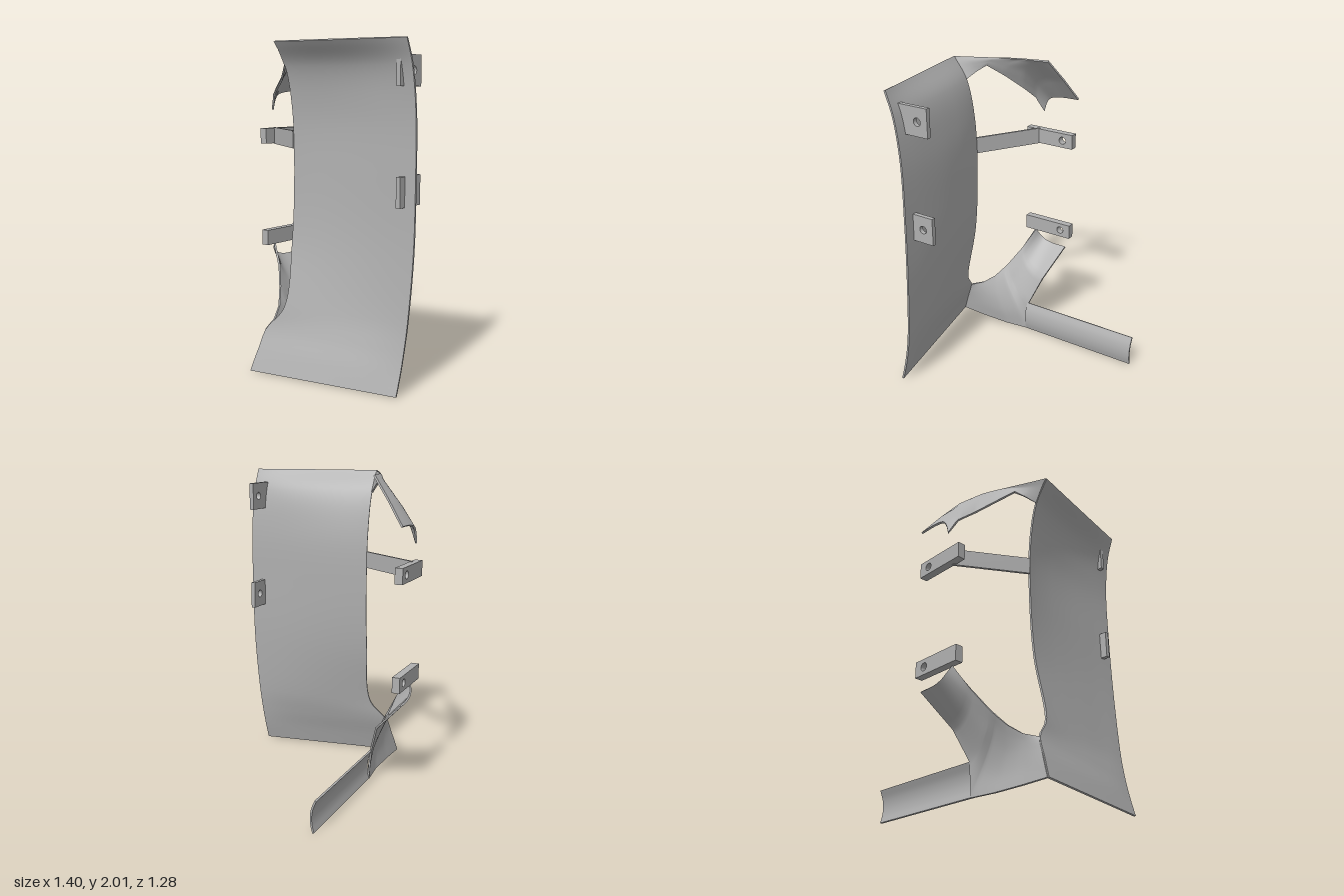
import * as THREE from 'three';

const V = (p) => new THREE.Vector3(...p);

// Thin curved sheet lofted through cross-sections (each a list of points)
function sheet(name, sections, material, { smooth = true, nu = 32, nv = 20, thick = 0.012 } = {}) {
  const across = sections.map((s) => new THREE.CatmullRomCurve3(s.map(V), false, 'centripetal'));
  const P = [];
  for (let i = 0; i <= nu; i++) P.push([]);
  for (let j = 0; j <= nv; j++) {
    const pts = across.map((c) => c.getPoint(j / nv));
    const curve = new THREE.CatmullRomCurve3(pts, false, 'centripetal');
    for (let i = 0; i <= nu; i++) {
      if (smooth) P[i].push(curve.getPoint(i / nu));
      else {
        const f = (i / nu) * (pts.length - 1);
        const k = Math.min(Math.floor(f), pts.length - 2);
        P[i].push(pts[k].clone().lerp(pts[k + 1], f - k));
      }
    }
  }
  // Offset the middle surface along its normals to both faces
  const normal = (i, j) => {
    const du = P[Math.min(i + 1, nu)][j].clone().sub(P[Math.max(i - 1, 0)][j]);
    const dv = P[i][Math.min(j + 1, nv)].clone().sub(P[i][Math.max(j - 1, 0)]);
    return du.cross(dv).normalize();
  };
  const pos = [], nor = [], index = [];
  const id = (i, j) => i * (nv + 1) + j;
  const count = (nu + 1) * (nv + 1);
  for (const s of [1, -1]) {
    for (let i = 0; i <= nu; i++) for (let j = 0; j <= nv; j++) {
      const n = normal(i, j).multiplyScalar(s);
      pos.push(...P[i][j].clone().addScaledVector(n, thick / 2).toArray());
      nor.push(...n.toArray());
    }
  }
  for (let i = 0; i < nu; i++) for (let j = 0; j < nv; j++) {
    const a = id(i, j), b = id(i + 1, j), c = id(i + 1, j + 1), d = id(i, j + 1);
    index.push(a, b, c, a, c, d);
    index.push(count + a, count + c, count + b, count + a, count + d, count + c);
  }
  // Rim around the boundary
  const loop = [];
  for (let i = 0; i < nu; i++) loop.push(id(i, 0));
  for (let j = 0; j < nv; j++) loop.push(id(nu, j));
  for (let i = nu; i > 0; i--) loop.push(id(i, nv));
  for (let j = nv; j > 0; j--) loop.push(id(0, j));
  const at = (k) => new THREE.Vector3().fromArray(pos, k * 3);
  loop.forEach((a, k) => {
    const b = loop[(k + 1) % loop.length];
    const q = [a, count + a, count + b, b].map(at);
    const n = q[1].clone().sub(q[0]).cross(q[3].clone().sub(q[0]).negate()).negate().normalize();
    const base = pos.length / 3;
    q.forEach((p) => { pos.push(...p.toArray()); nor.push(...n.toArray()); });
    index.push(base, base + 1, base + 2, base, base + 2, base + 3);
  });
  const g = new THREE.BufferGeometry();
  g.setAttribute('position', new THREE.Float32BufferAttribute(pos, 3));
  g.setAttribute('normal', new THREE.Float32BufferAttribute(nor, 3));
  g.setIndex(index);
  const mesh = new THREE.Mesh(g, material);
  mesh.name = name;
  return mesh;
}

// Flat mounting plate with one round hole
function plate(name, x0, x1, y0, y1, z0, z1, hx, hy, material) {
  const s = new THREE.Shape([[x0, y0], [x1, y0], [x1, y1], [x0, y1]].map((p) => new THREE.Vector2(...p)));
  s.holes.push(new THREE.Path().absarc(hx, hy, 0.025, 0, Math.PI * 2, true));
  const g = new THREE.ExtrudeGeometry(s, { depth: z1 - z0, bevelEnabled: false, curveSegments: 24 });
  const mesh = new THREE.Mesh(g.translate(0, 0, z0), material);
  mesh.name = name;
  return mesh;
}

export function createModel() {
  const group = new THREE.Group();
  group.name = 'sidePanelAssembly';
  const grey = new THREE.MeshStandardMaterial({ color: 0xb0b0b0, side: THREE.DoubleSide });
  grey.name = 'plainGrey';

  // Side panel: y, front x, front z, back x, back z, bend exponent
  const rows = [
    [0, -0.51, 0.61, -0.695, -0.355, 1],
    [0.12, -0.475, 0.614, -0.65, -0.335, 1],
    [0.25, -0.445, 0.618, -0.6, -0.31, 1.15],
    [0.4, -0.42, 0.624, -0.548, -0.2, 1.5],
    [0.8, -0.385, 0.638, -0.47, -0.2, 2.2],
    [1.2, -0.372, 0.64, -0.443, -0.2, 3],
    [1.6, -0.374, 0.64, -0.453, -0.2, 3],
    [1.86, -0.41, 0.638, -0.51, -0.2, 2],
    [2, -0.46, 0.635, -0.602, -0.2, 1],
  ];
  const panel = rows.map(([y, xf, zf, xb, zb, p]) => [0, 0.25, 0.5, 0.7, 0.82, 0.92, 1].map((t) =>
    [xf + (xb - xf) * t ** p, y, zf + (zb - zf) * t]));
  group.add(sheet('sidePanel', panel, grey, { nu: 64, nv: 24 }));

  // Lower arm: from the panel's bottom rear corner, up and back to a trough-shaped end
  group.add(sheet('lowerArm', [
    [[-0.695, 0, -0.355], [-0.665, 0.08, -0.342], [-0.63, 0.17, -0.325], [-0.61, 0.22, -0.317], [-0.6, 0.25, -0.31]],
    [[-0.5, 0, -0.345], [-0.5, 0.1, -0.33], [-0.5, 0.19, -0.325], [-0.5, 0.25, -0.328], [-0.5, 0.29, -0.335]],
    [[-0.3, 0, -0.345], [-0.33, 0.1, -0.332], [-0.37, 0.2, -0.335], [-0.4, 0.28, -0.35], [-0.42, 0.35, -0.37]],
    [[-0.13, 0, -0.365], [-0.2, 0.14, -0.35], [-0.28, 0.26, -0.362], [-0.34, 0.35, -0.385], [-0.37, 0.41, -0.41]],
    [[-0.13, 0.205, -0.38], [-0.2, 0.25, -0.385], [-0.27, 0.32, -0.4], [-0.315, 0.39, -0.415], [-0.34, 0.45, -0.435]],
    [[-0.055, 0.4, -0.445], [-0.13, 0.415, -0.46], [-0.2, 0.455, -0.475], [-0.245, 0.51, -0.49], [-0.27, 0.565, -0.505]],
    [[0.02, 0.6, -0.632], [-0.1, 0.605, -0.632], [-0.16, 0.625, -0.63], [-0.19, 0.655, -0.622], [-0.21, 0.7, -0.6]],
  ], grey, { smooth: false, nu: 36 }));

  // Lower bar with a shallow curved section
  group.add(sheet('lowerBar', [-0.14, 0.28, 0.7].map((x) =>
    [[x, 0, -0.365], [x, 0.05, -0.353], [x, 0.1, -0.35], [x, 0.15, -0.358], [x, 0.205, -0.38]]), grey, { nu: 4 }));

  // Upper arm: from the panel's top rear corner to a trough-shaped end
  group.add(sheet('upperArm', [
    [[-0.602, 2, -0.2], [-0.57, 1.96, -0.2], [-0.545, 1.92, -0.2], [-0.525, 1.885, -0.2], [-0.51, 1.86, -0.2]],
    [[-0.5, 2, -0.245], [-0.485, 1.975, -0.243], [-0.475, 1.95, -0.245], [-0.467, 1.93, -0.248], [-0.46, 1.91, -0.25]],
    [[-0.35, 2, -0.315], [-0.37, 1.99, -0.303], [-0.39, 1.977, -0.295], [-0.402, 1.963, -0.29], [-0.41, 1.95, -0.29]],
    [[-0.2, 2, -0.375], [-0.24, 1.985, -0.37], [-0.29, 1.95, -0.36], [-0.32, 1.91, -0.36], [-0.33, 1.88, -0.37]],
    [[-0.02, 2, -0.41], [-0.12, 1.98, -0.41], [-0.2, 1.925, -0.425], [-0.235, 1.85, -0.45], [-0.25, 1.78, -0.48]],
    [[0.033, 1.86, -0.525], [-0.08, 1.85, -0.53], [-0.165, 1.81, -0.535], [-0.195, 1.76, -0.555], [-0.21, 1.69, -0.585]],
    [[0.085, 1.715, -0.633], [-0.05, 1.71, -0.633], [-0.13, 1.69, -0.633], [-0.158, 1.65, -0.633], [-0.175, 1.59, -0.633]],
  ], grey, { smooth: false, nu: 36 }));

  // Strap from the panel's rear edge to the upper rear plate
  const a = new THREE.Vector2(-0.445, -0.2), b = new THREE.Vector2(-0.19, -0.605);
  const strap = new THREE.Mesh(new THREE.BoxGeometry(a.distanceTo(b), 0.108, 0.015), grey);
  strap.position.set((a.x + b.x) / 2, 1.422, (a.y + b.y) / 2);
  strap.rotation.y = -Math.atan2(b.y - a.y, b.x - a.x);
  strap.name = 'strap';
  group.add(strap);

  // Mounting plates: two at the rear, two at the front of the panel
  [['upperRearPlate', 1.422], ['lowerRearPlate', 0.747]].forEach(([n, y]) =>
    group.add(plate(n, -0.285, 0.07, y - 0.05, y + 0.05, -0.64, -0.59, -0.005, y, grey)));
  [['upperFrontPlate', 1.828], ['lowerFrontPlate', 1.152]].forEach(([n, y]) =>
    group.add(plate(n, -0.427, -0.222, y - 0.088, y + 0.088, 0.542, 0.57, -0.294, y, grey)));

  return group;
}
